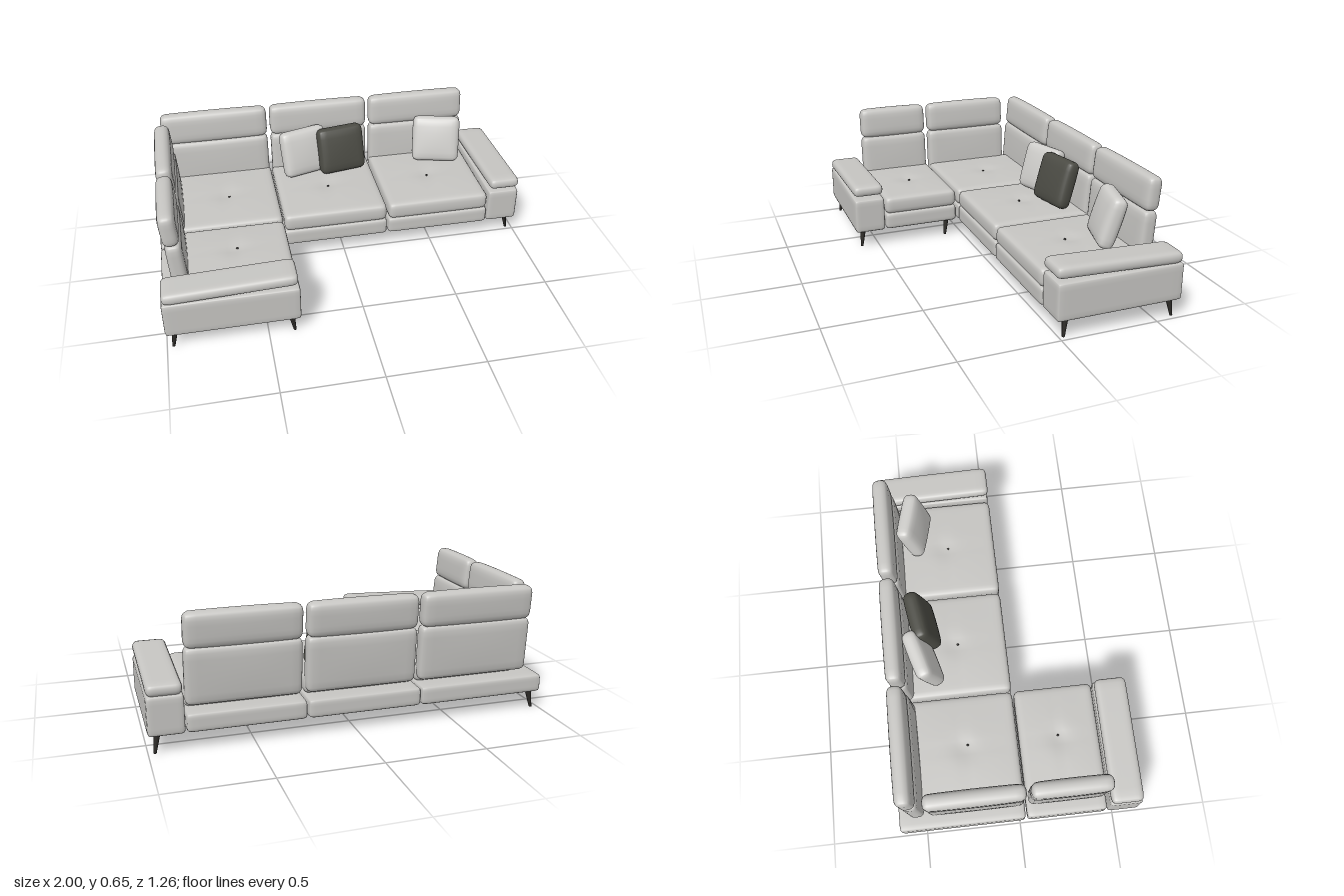
import * as THREE from 'three';
import { mergeVertices } from 'three/addons/utils/BufferGeometryUtils.js';

const material = (name, color) => {
  const m = new THREE.MeshStandardMaterial({ color });
  m.name = name;
  return m;
};

// Soft rounded box, crowned along its bulge axes, optionally with a tufted dimple on top
function softBox(w, h, d, r, { bulge = [0, 0, 0], tuft = 0, seg = [14, 10, 14] } = {}) {
  const geo = new THREE.BoxGeometry(2, 2, 2, ...seg);
  geo.deleteAttribute('uv');
  geo.deleteAttribute('normal');
  const half = new THREE.Vector3(w / 2, h / 2, d / 2);
  const inner = half.clone().subScalar(r);
  const pos = geo.attributes.position;
  const u = new THREE.Vector3(), p = new THREE.Vector3(), c = new THREE.Vector3();
  for (let i = 0; i < pos.count; i++) {
    u.fromBufferAttribute(pos, i);
    // crowd the grid lines towards the edges, where the rounding is
    p.set(...u.toArray().map(v => Math.sin(v * Math.PI / 2))).multiply(half);
    c.copy(p).clamp(inner.clone().negate(), inner);
    p.sub(c).setLength(r).add(c);
    const q = p.clone().divide(half);
    const f = q.toArray().map(v => Math.max(0, 1 - v * v));
    p.x += bulge[0] * q.x * f[1] * f[2];
    p.y += bulge[1] * q.y * f[0] * f[2];
    p.z += bulge[2] * q.z * f[0] * f[1];
    if (tuft && q.y > 0.5) {
      const crease = Math.exp(-((p.x / 0.02) ** 2)) + Math.exp(-((p.z / 0.02) ** 2));
      p.y -= tuft * (Math.exp(-(p.x * p.x + p.z * p.z) / 0.003) + 0.2 * crease * f[0] * f[2]);
    }
    pos.setXYZ(i, p.x, p.y, p.z);
  }
  const merged = mergeVertices(geo, 1e-5);
  merged.computeVertexNormals();
  return merged;
}

export function createModel() {
  const model = new THREE.Group();
  model.name = 'cornerSofa';
  const fabric = material('light grey upholstery', 0xc6c5c2);
  const paleFabric = material('pale pillow fabric', 0xcfcecb);
  const darkFabric = material('dark pillow fabric', 0x4b4b44);
  const metal = material('dark leg metal', 0x2c2a27);

  const add = (name, geo, mat, position, rotation = [0, 0, 0], parent = model) => {
    const mesh = new THREE.Mesh(geo, mat);
    mesh.name = name;
    mesh.position.set(...position);
    mesh.rotation.set(...rotation);
    parent.add(mesh);
    return mesh;
  };

  // Block given by its limits on each axis
  const block = (name, [x0, x1], [y0, y1], [z0, z1], r, options) =>
    add(name, softBox(x1 - x0, y1 - y0, z1 - z0, r, options), fabric,
      [(x0 + x1) / 2, (y0 + y1) / 2, (z0 + z1) / 2]);

  // Seat modules: a plinth with a tufted cushion on it
  const modules = [
    { base: [[-1, -0.337], [-0.63, 0.027]], seat: [[-0.9, -0.337], [-0.54, 0.027]], button: [-0.605, -0.235] },
    { base: [[-0.333, 0.242], [-0.63, 0.027]], seat: [[-0.33, 0.24], [-0.54, 0.027]], button: [-0.045, -0.235] },
    { base: [[0.248, 0.822], [-0.63, 0.027]], seat: [[0.251, 0.82], [-0.54, 0.027]], button: [0.535, -0.235] },
    { base: [[-1, -0.337], [0.035, 0.455]], seat: [[-0.9, -0.337], [0.035, 0.455]], button: [-0.605, 0.24] },
  ];
  for (const { base, seat, button } of modules) {
    block('seatBase', base[0], [0.09, 0.184], base[1], 0.02);
    block('seatCushion', seat[0], [0.18, 0.276], seat[1], 0.03,
      { bulge: [0, 0.009, 0], tuft: 0.01, seg: [24, 8, 24] });
    add('tuftButton', new THREE.SphereGeometry(0.006, 10, 6), metal, [button[0], 0.277, button[1]]);
  }

  // Backrests: a lower cushion and a headrest, leaning back
  const backrest = (width, x, z, turn) => {
    const group = new THREE.Group();
    group.name = 'backrest';
    group.position.set(x, 0, z);
    group.rotation.y = turn;
    add('lowerBackCushion', softBox(width, 0.285, 0.08, 0.03, { bulge: [0, 0, 0.006] }), fabric,
      [0, 0.338, 0.02], [-0.07, 0, 0], group);
    add('headrest', softBox(width, 0.172, 0.082, 0.034, { bulge: [0, 0.004, 0.004] }), fabric,
      [0, 0.562, 0], [-0.09, 0, 0], group);
    model.add(group);
  };
  backrest(0.595, -0.642, -0.56, 0);
  backrest(0.56, -0.045, -0.56, 0);
  backrest(0.56, 0.535, -0.56, 0);
  backrest(0.5, -0.927, -0.225, Math.PI / 2);
  backrest(0.4, -0.927, 0.247, Math.PI / 2);

  // Arm blocks with sloping padded tops
  block('leftArm', [0.826, 1], [0.09, 0.283], [-0.63, 0.022], 0.018);
  block('rightArm', [-1, -0.337], [0.09, 0.283], [0.46, 0.63], 0.018);
  add('leftArmPad', softBox(0.168, 0.062, 0.652, 0.029), fabric, [0.914, 0.318, -0.3], [-0.036, 0, 0]);
  add('rightArmPad', softBox(0.652, 0.062, 0.168, 0.029), fabric, [-0.67, 0.318, 0.546], [0, 0, 0.036]);

  // Loose pillows leaning against the backs
  const pillow = (name, mat, x, z, turn) => {
    const mesh = add(name, softBox(0.272, 0.265, 0.082, 0.036, { bulge: [0, 0, 0.012] }), mat, [x, 0.413, z]);
    mesh.rotation.set(-0.29, turn, 0, 'YXZ');
  };
  pillow('palePillow', paleFabric, -0.15, -0.42, 0.28);
  pillow('darkPillow', darkFabric, 0.062, -0.408, 0.17);
  pillow('palePillow', paleFabric, 0.632, -0.41, -0.25);

  // Tapered legs, each splayed along both axes
  const legs = [
    [-0.952, -0.582, -1, -1], [-0.952, 0.582, -1, 1], [-0.385, 0.582, 1, 1],
    [-0.385, 0.084, 1, 1], [0.952, -0.038, 1, 1], [0.952, -0.582, 1, -1],
  ];
  for (const [x, z, sx, sz] of legs) {
    const geo = new THREE.CylinderGeometry(0.017, 0.007, 0.1, 12);
    const pos = geo.attributes.position;
    for (let i = 0; i < pos.count; i++) {
      const drop = 0.05 - pos.getY(i);
      pos.setX(i, pos.getX(i) + sx * drop * 0.16);
      pos.setZ(i, pos.getZ(i) + sz * drop * 0.14);
    }
    geo.computeVertexNormals();
    add('leg', geo, metal, [x, 0.05, z]);
  }
  return model;
}
